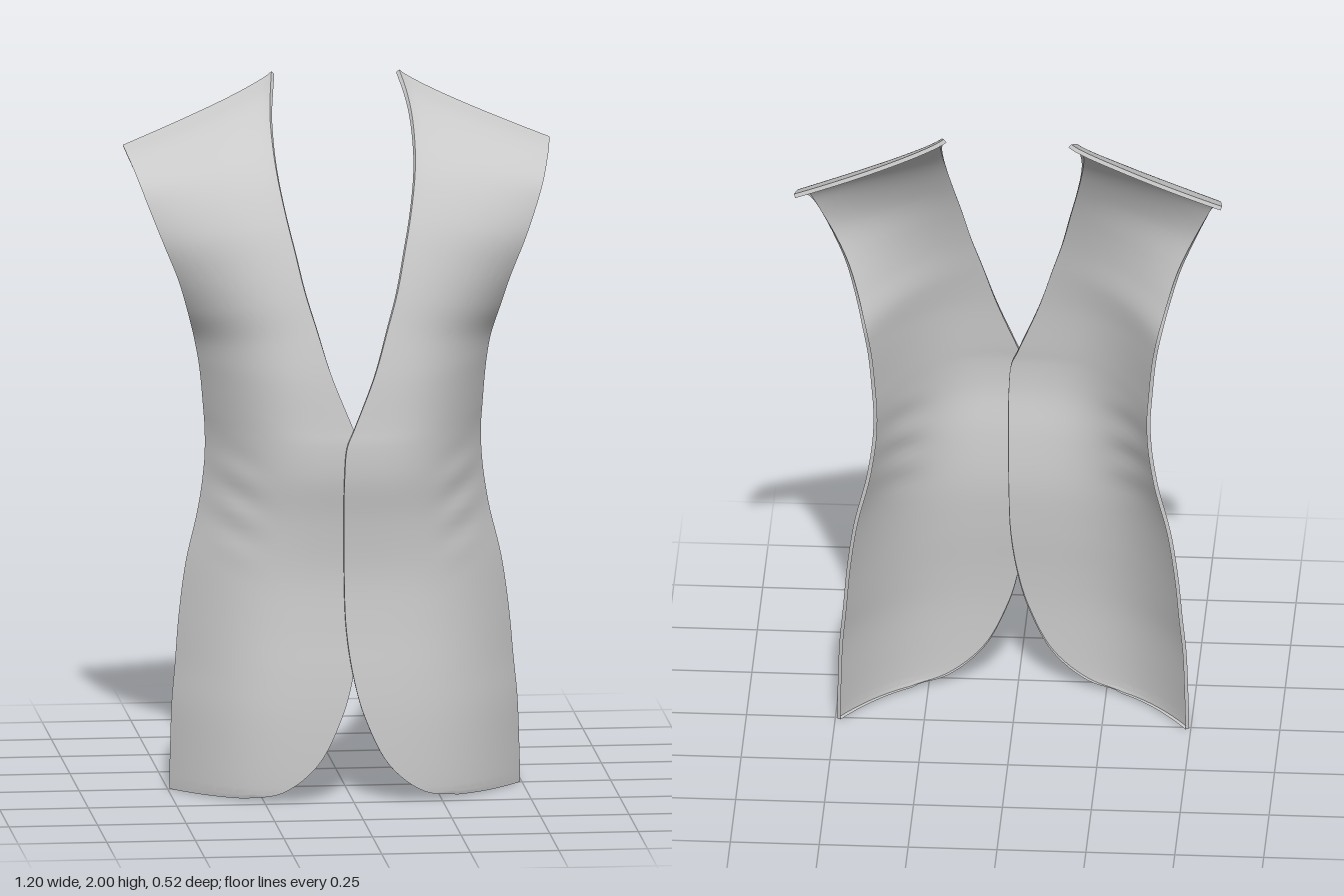
import * as THREE from 'three';
import { toCreasedNormals } from 'three/addons/utils/BufferGeometryUtils.js';

const V = (p) => new THREE.Vector3(...p);

// Front opening, from hem to neck; z is the depth of the panel at its centre
const opening = new THREE.CatmullRomCurve3([
  [0.3, 0.01, 0.245], [0.2, 0.03, 0.25], [0.1, 0.11, 0.252], [0.03, 0.25, 0.25], [0, 0.36, 0.243],
  [-0.02, 0.5, 0.23], [-0.025, 0.65, 0.223], [-0.027, 0.8, 0.235], [-0.027, 0.93, 0.255],
  [-0.02, 1.02, 0.257], [0, 1.07, 0.252], [0.06, 1.22, 0.238], [0.1, 1.35, 0.215],
  [0.13, 1.45, 0.19], [0.155, 1.56, 0.152], [0.175, 1.65, 0.11], [0.193, 1.75, 0.05],
  [0.2, 1.82, -0.01], [0.2, 1.9, -0.1], [0.192, 1.955, -0.17], [0.18, 2, -0.255],
].map(V));

// Side seam and armhole, paired row by row with the opening
const side = new THREE.CatmullRomCurve3([
  [0.495, 0.005, -0.005], [0.495, 0.03, -0.005], [0.493, 0.11, -0.006], [0.488, 0.25, -0.01],
  [0.478, 0.36, -0.018], [0.466, 0.5, -0.028], [0.445, 0.65, -0.037], [0.41, 0.8, -0.045],
  [0.392, 0.93, -0.05], [0.39, 1.02, -0.055], [0.394, 1.08, -0.055], [0.405, 1.2, -0.058],
  [0.418, 1.275, -0.06], [0.44, 1.36, -0.025], [0.47, 1.46, 0], [0.51, 1.56, 0],
  [0.545, 1.65, -0.03], [0.567, 1.71, -0.065], [0.585, 1.76, -0.13], [0.595, 1.785, -0.18],
  [0.602, 1.803, -0.24],
].map(V));

// Point on the cloth: s runs from opening to side, v from hem to shoulder
function cloth(s, v) {
  const a = opening.getPoint(v), b = side.getPoint(v);
  const x = a.x + (b.x - a.x) * s;
  const y = a.y + (b.y - a.y) * Math.pow(s, 0.85);
  const t = Math.min(1, Math.max(0, x / b.x));
  let z = b.z + (a.z - b.z) * (1 - Math.pow(t, 2.9));
  // soft waist creases near the side
  const fold = Math.exp(-(((x - 0.32) / 0.06) ** 2) - ((y - 0.84) / 0.13) ** 2);
  z += 0.005 * fold * Math.sin((y - 0.3 * x) * 55);
  return new THREE.Vector3(x, y, z);
}

function clothNormal(s, v) {
  const e = 0.004;
  const s0 = Math.max(0, s - e), s1 = Math.min(1, s + e);
  const v0 = Math.max(0, v - e), v1 = Math.min(1, v + e);
  const ds = cloth(s1, v).sub(cloth(s0, v));
  const dv = cloth(s, v1).sub(cloth(s, v0));
  return ds.cross(dv).normalize();
}

// One panel with a narrow turned-in rim around its whole outline
function panelGeometry(sign, setBack) {
  const cols = 36, rows = 120, rim = 0.012;
  const pos = [], index = [];
  for (let j = -1; j <= rows + 1; j++) {
    for (let i = -1; i <= cols + 1; i++) {
      const s = THREE.MathUtils.clamp(i / cols, 0, 1);
      const v = THREE.MathUtils.clamp(j / rows, 0, 1);
      const p = cloth(s, v);
      if (i < 0 || j < 0 || i > cols || j > rows) p.addScaledVector(clothNormal(s, v), -rim);
      // the under panel sits slightly behind at the centre overlap
      p.z -= setBack * (1 - THREE.MathUtils.smoothstep(p.x, 0.05, 0.35));
      pos.push(sign * p.x, p.y, p.z);
    }
  }
  const w = cols + 3;
  for (let j = 0; j < rows + 2; j++) {
    for (let i = 0; i < cols + 2; i++) {
      const a = j * w + i, b = a + 1, c = a + w, d = c + 1;
      if (sign > 0) index.push(a, b, d, a, d, c);
      else index.push(a, d, b, a, c, d);
    }
  }
  const g = new THREE.BufferGeometry();
  g.setAttribute('position', new THREE.Float32BufferAttribute(pos, 3));
  g.setIndex(index);
  return toCreasedNormals(g, 0.8);
}

export function createModel() {
  const group = new THREE.Group();
  group.name = 'waistcoatFront';
  const material = new THREE.MeshStandardMaterial({ color: 0xcccccc, side: THREE.DoubleSide });
  // left panel laps over the right one
  for (const [name, sign, setBack] of [['leftPanel', 1, 0], ['rightPanel', -1, 0.015]]) {
    const mesh = new THREE.Mesh(panelGeometry(sign, setBack), material);
    mesh.name = name;
    group.add(mesh);
  }
  return group;
}
